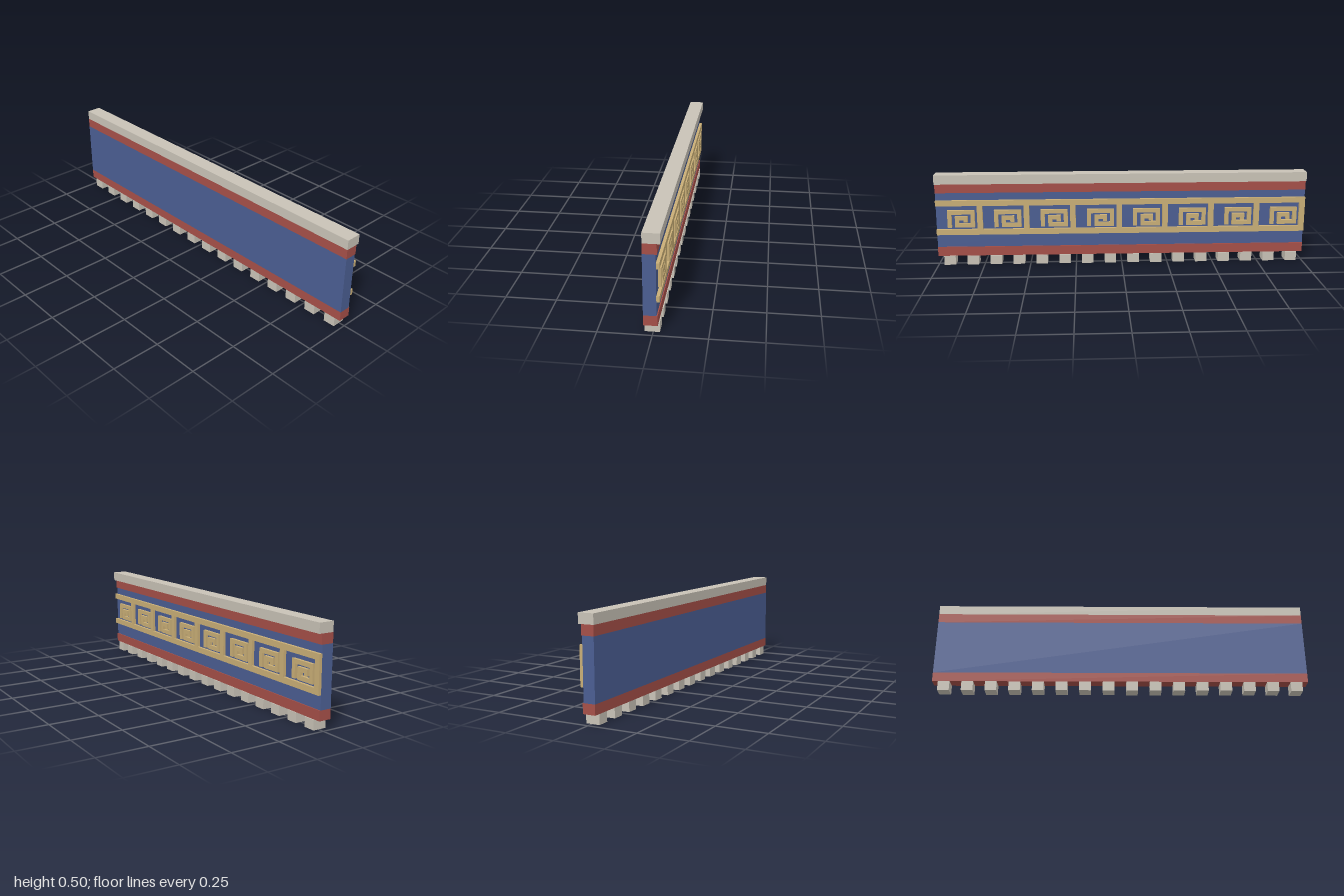
import * as THREE from 'three';

const mat = (name, color) => {
  const m = new THREE.MeshStandardMaterial({ color });
  m.name = name;
  return m;
};

export function createModel() {
  const stone = mat('pale stone', 0xc8c2b6);
  const red = mat('brick red', 0xa54f48);
  const blue = mat('deep blue', 0x4b5e92);
  const gold = mat('gold', 0xc9ae76);

  const model = new THREE.Group();
  model.name = 'friezePanel';

  // Box given by its extents along each axis
  const box = (parent, name, material, x0, x1, y0, y1, z0, z1) => {
    const mesh = new THREE.Mesh(new THREE.BoxGeometry(x1 - x0, y1 - y0, z1 - z0), material);
    mesh.position.set((x0 + x1) / 2, (y0 + y1) / 2, (z0 + z1) / 2);
    mesh.name = name;
    parent.add(mesh);
  };

  // Stacked horizontal courses, flush at the front and stepped at the back
  const front = 0.04;
  box(model, 'lowerBand', red, -1, 1, 0.05, 0.1, -0.025, front);
  box(model, 'panel', blue, -1, 1, 0.1, 0.4, -0.02, front);
  box(model, 'upperBand', red, -1, 1, 0.4, 0.45, -0.025, front);
  box(model, 'cornice', stone, -1, 1, 0.45, 0.5, -0.04, front);

  // Row of dentils underneath
  const dentils = new THREE.Group();
  dentils.name = 'dentils';
  model.add(dentils);
  for (let i = 0; i < 16; i++) {
    const x = -0.9375 + i * 0.125;
    box(dentils, 'dentil', stone, x - 0.031, x + 0.031, 0, 0.05, -0.03, front);
  }

  // Greek key relief on the back: two rails, dividers and square spirals
  const key = new THREE.Group();
  key.name = 'greekKey';
  model.add(key);
  const zOut = -0.035, zIn = -0.02;
  box(key, 'lowerRail', gold, -1, 1, 0.17, 0.2, zOut, zIn);
  box(key, 'upperRail', gold, -1, 1, 0.33, 0.36, zOut, zIn);

  // Spiral centreline: distance from the unit's left edge, height
  const path = [
    [0.072, 0.222], [0.072, 0.294], [0.196, 0.294], [0.196, 0.222],
    [0.112, 0.222], [0.112, 0.262], [0.158, 0.262], [0.158, 0.25],
  ];
  const h = 0.011;
  for (let i = 0; i < 8; i++) {
    const start = 1 - i * 0.25;
    box(key, 'divider', gold, start - 0.25, start - 0.22, 0.2, 0.33, zOut, zIn);
    for (let k = 0; k < path.length - 1; k++) {
      const [a, b] = path[k], [c, d] = path[k + 1];
      box(key, 'spiralStroke', gold,
        start - Math.max(a, c) - h, start - Math.min(a, c) + h,
        Math.min(b, d) - h, Math.max(b, d) + h, zOut, zIn);
    }
  }
  return model;
}
